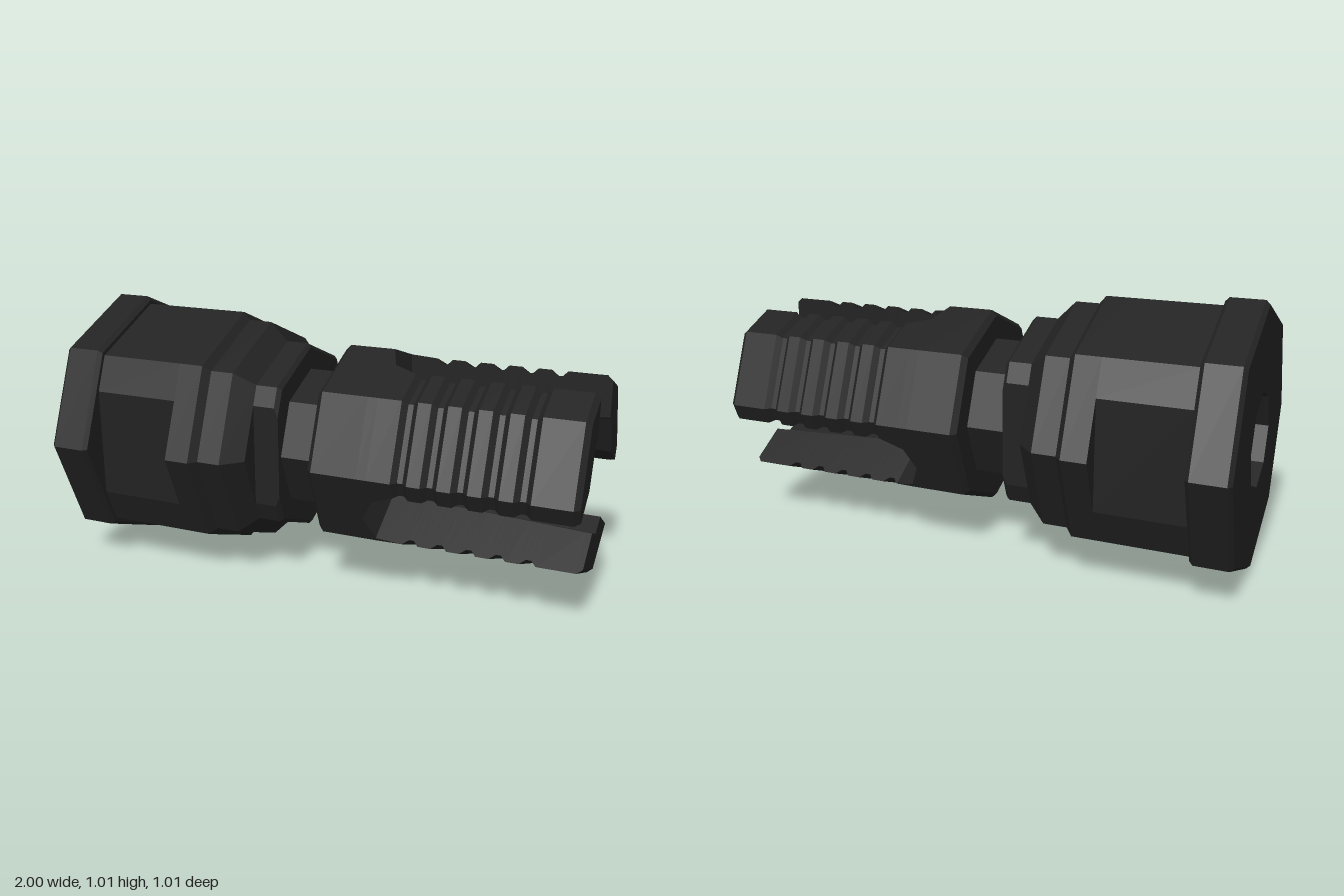
import * as THREE from 'three';

const CY = 0.505;                 // height of the long axis
const RAD = Math.PI / 180;
const APO = Math.cos(22.5 * RAD); // octagon apothem ratio
const TAN = Math.tan(22.5 * RAD);

// Octagon (corners up and sideways) cut off at |z| = flat
function octRing(x, r, flat = r) {
  const h = (r - flat) / TAN, d = r * Math.SQRT1_2;
  return [[flat, -h], [flat, h], [d, d], [0, r], [-d, d],
    [-flat, h], [-flat, -h], [-d, -d], [0, -r], [d, -d]]
    .map(([z, y]) => new THREE.Vector3(x, CY + y, z));
}

// Adds a triangle unless it has no area
function tri(out, a, b, c) {
  const n = b.clone().sub(a).cross(c.clone().sub(a));
  if (n.length() > 1e-9) for (const p of [a, b, c]) out.push(p.x, p.y, p.z);
}

// Skins a list of closed rings
function loft(out, rings) {
  for (let k = 0; k + 1 < rings.length; k++) {
    const p = rings[k], q = rings[k + 1];
    for (let i = 0; i < p.length; i++) {
      const j = (i + 1) % p.length;
      tri(out, p[i], q[i], q[j]);
      tri(out, p[i], q[j], p[j]);
    }
  }
}

// Point on an octagon of corner radius r at an angle
function octPoint(x, r, a) {
  const step = 45 * RAD;
  const local = a - (Math.floor(a / step + 1e-9) + 0.5) * step;
  const len = r * APO / Math.cos(local);
  return new THREE.Vector3(x, CY + len * Math.sin(a), len * Math.cos(a));
}

// Angle where a slot wall, offset w from the slot centre line, meets the octagon
function wallAngle(s, w, r) {
  let t = Infinity;
  for (let i = 0; i < 8; i++) {
    const m = (22.5 + 45 * i) * RAD - s;
    if (Math.cos(m) > 0.01) t = Math.min(t, (r * APO - w * Math.sin(m)) / Math.cos(m));
  }
  return s + Math.atan2(w, t);
}

const boreRadius = (x) => 0.18 + 0.048 * Math.max(0, x);

// One prong between two neighbouring slots
function prong(startDeg, stations) {
  const s0 = startDeg * RAD, s1 = (startDeg + 120) * RAD, corners = [];
  for (let a = -45; a < 405; a += 45) if (a > startDeg && a < startDeg + 120) corners.push(a * RAD);
  const arc = (x, r, w) => {
    const lo = wallAngle(s0, w, r), hi = wallAngle(s1, -w, r);
    return [lo, ...corners.map((a) => Math.min(hi, Math.max(lo, a))), hi].map((a) => octPoint(x, r, a));
  };
  const out = [], rings = [];
  let outer, inner;
  for (const [x, r, w] of stations) {
    outer = arc(x, r, w);
    inner = arc(x, boreRadius(x), w);
    rings.push([...outer, ...inner.slice().reverse()]);
  }
  loft(out, rings);
  // end face
  for (let i = 0; i + 1 < outer.length; i++) {
    tri(out, inner[i], inner[i + 1], outer[i + 1]);
    tri(out, inner[i], outer[i + 1], outer[i]);
  }
  return out;
}

export function createModel() {
  const group = new THREE.Group();
  const gunmetal = new THREE.MeshStandardMaterial({ color: 0x222222 });
  gunmetal.name = 'blackMetal';

  const add = (name, positions) => {
    const geo = new THREE.BufferGeometry();
    geo.setAttribute('position', new THREE.Float32BufferAttribute(positions, 3));
    geo.computeVertexNormals();
    const mesh = new THREE.Mesh(geo, gunmetal);
    mesh.name = name;
    group.add(mesh);
  };

  // Sections are [x, corner radius, optional side flat]
  const sections = {
    rearFlange: [[-1, 0.18], [-1, 0.49], [-0.985, 0.505], [-0.86, 0.505], [-0.845, 0.49], [-0.845, 0.39]],
    body: [[-0.845, 0.475, 0.39], [-0.51, 0.475, 0.39], [-0.51, 0.475], [-0.415, 0.475],
      [-0.39, 0.445], [-0.3, 0.445], [-0.23, 0.375], [-0.23, 0.29]],
    collar: [[-0.23, 0.375, 0.295], [-0.145, 0.375, 0.295], [-0.13, 0.36, 0.295], [-0.13, 0.27]],
    neck: [[-0.13, 0.275], [0.02, 0.275]],
    prongBase: [[0.02, 0.27], [0.02, 0.365], [0.04, 0.385], [0.215, 0.385]],
    bore: [[0.215, boreRadius(0.215)], [0, 0.18], [-1, 0.18]],
  };
  for (const [name, list] of Object.entries(sections)) {
    const out = [];
    loft(out, list.map((s) => octRing(...s)));
    add(name, out);
  }

  // Prong stations [x, outer radius, slot half width]: rounded slot end, grooves, chamfered tip
  const W = 0.125, R = 0.385;
  const stations = [[0.215, R, 0], [0.253, R, 0.088], [0.34, R, W]];
  for (let i = 0; i < 5; i++) {
    const x = 0.373 + i * 0.109;
    stations.push([x - 0.03, R, W], [x - 0.01, R - 0.02, W], [x + 0.01, R - 0.02, W], [x + 0.03, R, W]);
  }
  stations.push([0.98, R, W], [1, R - 0.018, W]);
  ['leftProng', 'rightProng', 'lowerProng'].forEach((name, i) => add(name, prong(-30 + 120 * i, stations)));

  return group;
}
